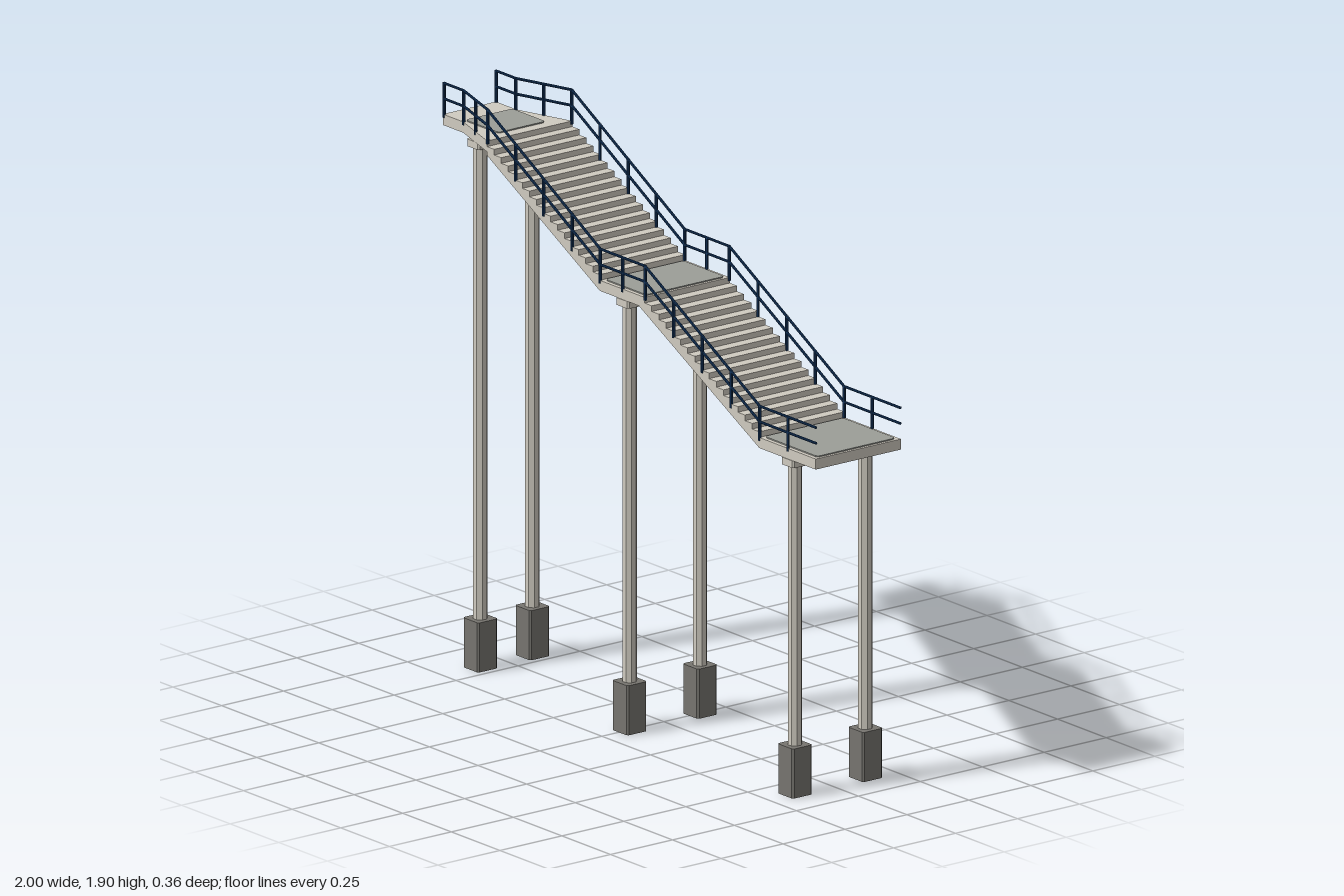
import * as THREE from 'three';

const mat = (color) => new THREE.MeshStandardMaterial({ color, flatShading: true });
const concrete = mat(0xd0cbc0);
const footingGrey = mat(0x777570);
const padGrey = mat(0x9c9e98);
const railBlue = mat(0x14365f);

const HALF = 0.172; // half width of stairs and lower landings
const NECK = 0.107; // half width of the narrow upper end

function add(parent, name, geometry, material) {
  const mesh = new THREE.Mesh(geometry, material);
  mesh.name = name;
  parent.add(mesh);
  return mesh;
}

function outline(points) {
  return new THREE.Shape(points.map(([x, y]) => new THREE.Vector2(x, y)));
}

// Extrude a plan outline (x, z) upwards from y0 to y1
function slab(points, y0, y1) {
  const g = new THREE.ExtrudeGeometry(outline(points.map(([x, z]) => [x, -z])), { depth: y1 - y0, bevelEnabled: false });
  return g.rotateX(-Math.PI / 2).translate(0, y0, 0);
}

// Rectangle with cut corners, as plan points
function cutRect(x0, x1, halfZ, c) {
  return [
    [x0 + c, halfZ], [x1 - c, halfZ], [x1, halfZ - c], [x1, c - halfZ],
    [x1 - c, -halfZ], [x0 + c, -halfZ], [x0, c - halfZ], [x0, halfZ - c],
  ];
}

// Round bar between two points
function bar(parent, name, a, b, radius) {
  const dir = b.clone().sub(a);
  const mesh = add(parent, name, new THREE.CylinderGeometry(radius, radius, dir.length(), 8), railBlue);
  mesh.position.copy(a).add(b).multiplyScalar(0.5);
  mesh.quaternion.setFromUnitVectors(new THREE.Vector3(0, 1, 0), dir.normalize());
}

// Stepped points of one flight going down towards +x
function flight(x0, y0, x1, y1, risers) {
  const pts = [];
  for (let i = 0; i < risers; i++) {
    const x = x0 + ((x1 - x0) * i) / (risers - 1);
    pts.push([x, y0 + ((y1 - y0) * i) / risers], [x, y0 + ((y1 - y0) * (i + 1)) / risers]);
  }
  return pts;
}

function createDeck(root) {
  const deck = new THREE.Group();
  deck.name = 'deck';
  root.add(deck);

  // Upper landing widens towards the stairs
  add(deck, 'upperLanding', slab([
    [-1, NECK], [-0.895, NECK], [-0.69, HALF],
    [-0.69, -HALF], [-0.895, -NECK], [-1, -NECK],
  ], 1.759, 1.795), concrete);

  // Both flights with the middle and lower landings in one side profile
  const profile = [
    ...flight(-0.69, 1.795, -0.11, 1.475, 17),
    ...flight(0.12, 1.475, 0.71, 1.155, 17),
    [1, 1.155], [1, 1.12], [0.71, 1.12], [0.09, 1.44], [-0.11, 1.44], [-0.69, 1.747],
  ];
  const stairs = new THREE.ExtrudeGeometry(outline(profile), { depth: 2 * HALF, bevelEnabled: false });
  add(deck, 'stairs', stairs.translate(0, 0, -HALF), concrete);

  // Thin surface pads on the landings
  const pads = [[-0.9, -0.73, 0.095, 1.795], [-0.1, 0.11, 0.158, 1.475], [0.72, 0.99, 0.158, 1.155]];
  for (const [x0, x1, halfZ, y] of pads) {
    add(deck, 'landingPad', slab(cutRect(x0, x1, halfZ, 0.008), y, y + 0.004), padGrey);
  }
}

function createSupport(x, z, top) {
  const support = new THREE.Group();
  support.name = 'support';
  add(support, 'footing', slab(cutRect(-0.04, 0.04, 0.04, 0.006), 0, 0.165), footingGrey);
  const column = new THREE.CylinderGeometry(0.0235, 0.0235, top - 0.165, 8).rotateY(Math.PI / 8);
  add(support, 'column', column.translate(0, (top + 0.165) / 2, 0), concrete);
  add(support, 'columnCap', slab(cutRect(-0.032, 0.032, 0.032, 0.006), top - 0.024, top), concrete);
  support.position.set(x, 0, z);
  return support;
}

function createRailing(side) {
  const railing = new THREE.Group();
  railing.name = side > 0 ? 'frontRailing' : 'backRailing';
  // Path along the deck edge: x, deck height, half width
  const path = [
    [-0.996, 1.795, NECK], [-0.895, 1.795, NECK], [-0.69, 1.795, HALF],
    [-0.11, 1.475, HALF], [0.12, 1.475, HALF], [0.71, 1.155, HALF], [1, 1.155, HALF],
  ];
  const at = (p, h) => new THREE.Vector3(p[0], p[1] + h, side * (p[2] - 0.002));

  // Top and middle rails
  for (const h of [0.104, 0.052]) {
    for (let i = 0; i < path.length - 1; i++) bar(railing, 'rail', at(path[i], h), at(path[i + 1], h), 0.0045);
  }

  // Posts divide each stretch evenly; the lower end stays open
  const divisions = [1, 2, 4, 2, 4, 2];
  divisions.forEach((n, i) => {
    for (let k = 0; k < n; k++) {
      const p = path[i].map((v, j) => v + ((path[i + 1][j] - v) * k) / n);
      bar(railing, 'post', at(p, n === 4 && k ? -0.018 : -0.01), at(p, 0.106), 0.0055);
    }
  });
  return railing;
}

export function createModel() {
  const root = new THREE.Group();
  root.name = 'elevatedStairway';
  createDeck(root);
  for (const side of [1, -1]) {
    root.add(createRailing(side));
    for (const [x, z, top] of [[-0.81, 0.105, 1.759], [0.005, 0.142, 1.44], [0.855, 0.142, 1.12]]) {
      root.add(createSupport(x, side * z, top));
    }
  }
  return root;
}
